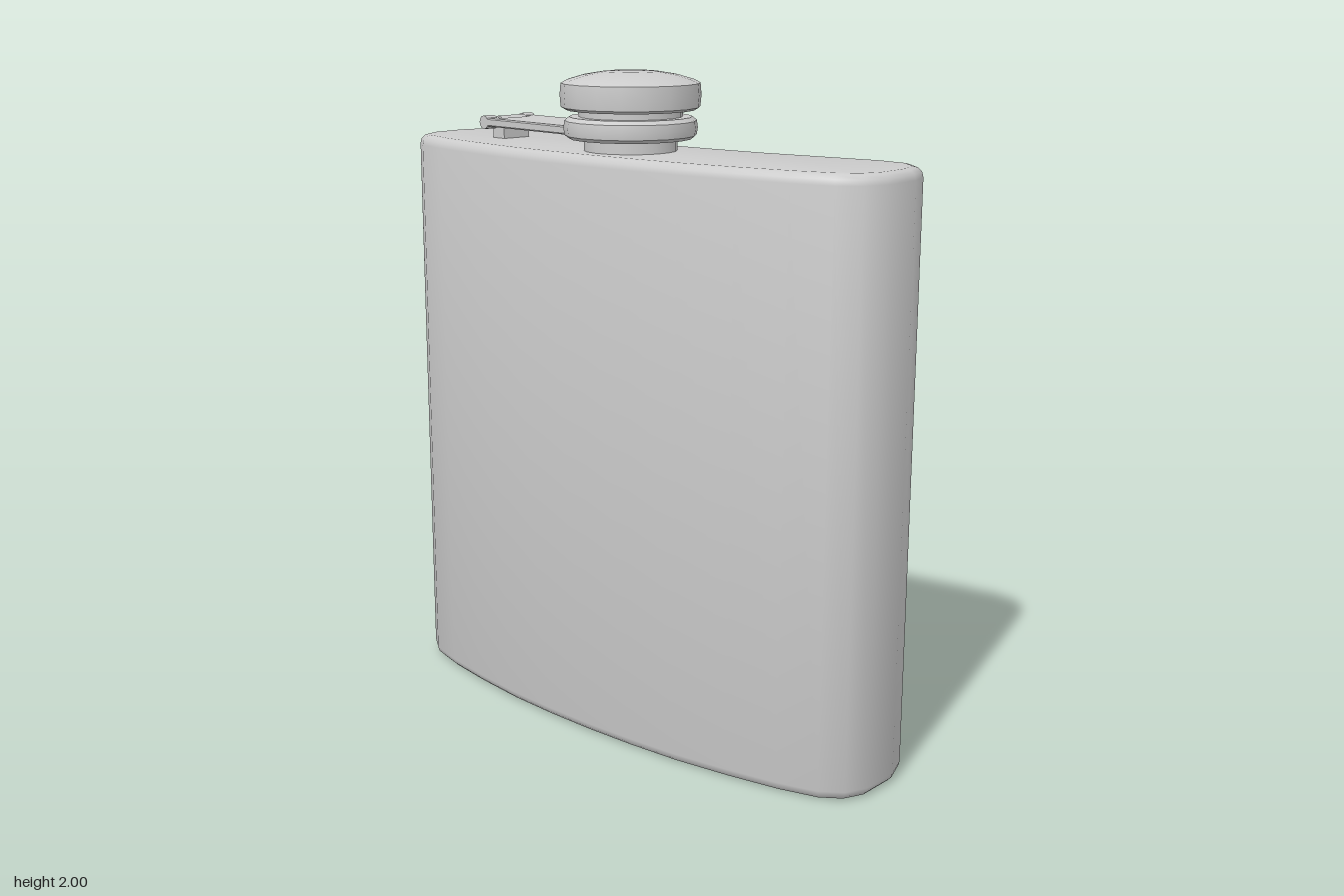
import * as THREE from 'three';
import { mergeVertices, toCreasedNormals } from 'three/addons/utils/BufferGeometryUtils.js';

const metal = new THREE.MeshStandardMaterial({ color: 0xcccccc });

// Welds the corners, then smooths everything below the crease angle.
function smooth(geometry, crease = 0.65) {
  geometry.deleteAttribute('normal');
  geometry.deleteAttribute('uv');
  return toCreasedNormals(mergeVertices(geometry, 1e-4), crease);
}

function part(name, geometry, parent) {
  const mesh = new THREE.Mesh(geometry, metal);
  mesh.name = name;
  parent.add(mesh);
  return mesh;
}

function lathe(points) {
  return smooth(new THREE.LatheGeometry(points.map(([r, y]) => new THREE.Vector2(r, y)), 18));
}

// Extrudes a plan shape upward from y = 0, with its outline kept as the widest part.
function slab(shape, height, bevel, segments) {
  const geometry = new THREE.ExtrudeGeometry(shape, {
    depth: height - 2 * bevel, bevelThickness: bevel, bevelSize: bevel,
    bevelOffset: -bevel, bevelSegments: segments, curveSegments: 8,
  });
  geometry.rotateX(-Math.PI / 2).translate(0, bevel, 0);
  return geometry;
}

export function createModel() {
  const group = new THREE.Group();
  group.name = 'hipFlask';

  // Curved body: half the plan outline as [x, z], front centre to back centre, then mirrored
  const half = [
    [0, 0.24], [0.17, 0.236], [0.34, 0.225], [0.52, 0.2], [0.68, 0.17], [0.8, 0.135], [0.862, 0.09],
    [0.893, 0.025], [0.895, -0.1], [0.867, -0.18], [0.8, -0.238], [0.7, -0.248],
    [0.52, -0.222], [0.33, -0.195], [0.16, -0.184], [0, -0.18],
  ];
  const mirrored = half.slice(1, -1).reverse().map(([x, z]) => [-x, z]);
  const outline = [...half, ...mirrored].map(([x, z]) => new THREE.Vector2(x, -z));
  part('body', smooth(slab(new THREE.Shape(outline), 1.77, 0.03, 3), 0.9), group);

  // Neck, hinge collar and cap share one axis
  const top = new THREE.Group();
  top.name = 'closure';
  top.position.z = 0.033;
  top.rotation.y = -0.094;
  group.add(top);

  part('neck', lathe([[0, 1.75], [0.137, 1.75], [0.137, 1.9], [0, 1.9]]), top);
  part('collar', lathe([
    [0.12, 1.805], [0.18, 1.805], [0.193, 1.815], [0.196, 1.835], [0.193, 1.857],
    [0.18, 1.868], [0.12, 1.868], [0.12, 1.805],
  ]), top);
  part('capSkirt', lathe([[0, 1.865], [0.152, 1.865], [0.152, 1.9], [0, 1.9]]), top);
  part('cap', lathe([
    [0, 1.888], [0.19, 1.888], [0.203, 1.896], [0.206, 1.93], [0.203, 1.964], [0.185, 1.974],
    [0.14, 1.987], [0.08, 1.997], [0, 2],
  ]), top);

  // Strap with a notch between its two hinge ears
  const strap = new THREE.Shape([
    [-0.14, -0.096], [-0.14, 0.096], [-0.575, 0.096], [-0.575, 0.056],
    [-0.525, 0.056], [-0.525, -0.056], [-0.575, -0.056], [-0.575, -0.096],
  ].map(([x, z]) => new THREE.Vector2(x, z)));
  part('strap', smooth(slab(strap, 0.026, 0.004, 1)), top).position.y = 1.808;

  // Rounded ear ends, left and right of the notch
  for (const side of [-1, 1]) {
    const ear = part('hingeEar', new THREE.CylinderGeometry(0.021, 0.021, 0.04, 12).rotateX(Math.PI / 2), top);
    ear.position.set(-0.572, 1.82, side * 0.076);
  }

  // Hinge pin and the lug that holds it on the body
  part('hingePin', new THREE.CylinderGeometry(0.012, 0.012, 0.16, 10).rotateX(Math.PI / 2), top)
    .position.set(-0.56, 1.818, 0);
  part('hingeKnuckle', new THREE.CylinderGeometry(0.027, 0.027, 0.1, 12).rotateX(Math.PI / 2), top)
    .position.set(-0.556, 1.812, 0);
  part('hingeLug', new THREE.BoxGeometry(0.054, 0.06, 0.1), top).position.set(-0.556, 1.782, 0);

  return group;
}
